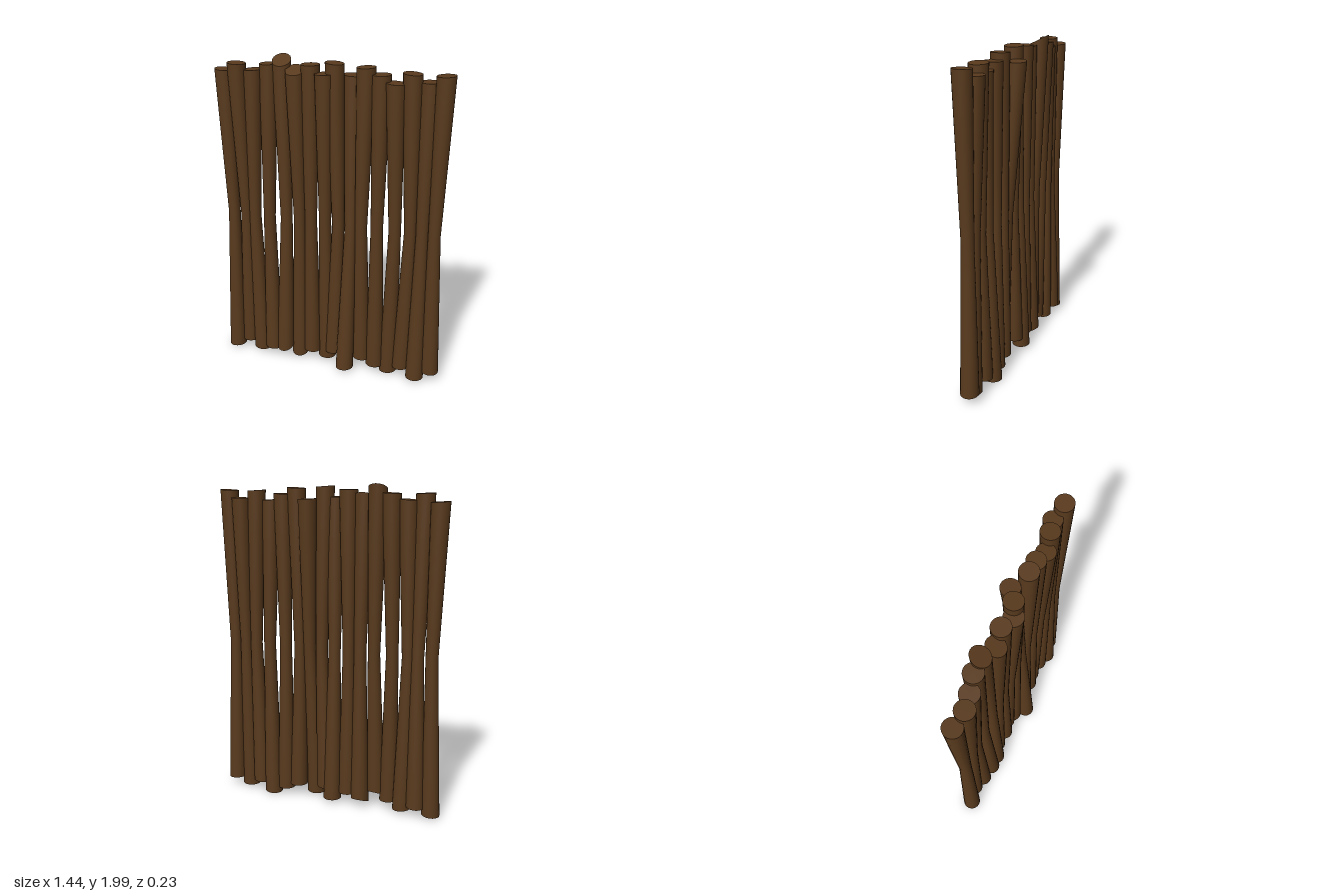
import * as THREE from 'three';

const SIDES = 24, R_END = 0.056, R_WAIST = 0.037, LENGTH = 1.88;

// One log: x at the ends, x at the waist, top height, z lean of the top,
// and how far the cut ends slope toward the front.
const LOGS = [
  [-0.665, -0.643, 1.895, 0, 0],
  [-0.573, -0.558, 1.94, 0.022, 0],
  [-0.48, -0.5, 1.905, 0, 0],
  [-0.388, -0.402, 1.94, -0.022, 0],
  [-0.306, -0.288, 1.965, -0.022, -0.5],
  [-0.212, -0.2, 1.92, 0.015, -0.4],
  [-0.122, -0.127, 1.955, 0, 0],
  [-0.03, -0.035, 1.912, 0.025, 0],
  [0.024, 0.05, 1.972, 0, 0],
  [0.115, 0.13, 1.9, -0.06, 0],
  [0.21, 0.194, 1.96, 0, 0],
  [0.299, 0.293, 1.925, 0, 0],
  [0.385, 0.404, 1.887, 0.018, 0],
  [0.475, 0.498, 1.942, 0, 0],
  [0.57, 0.57, 1.897, -0.025, 0],
  [0.66, 0.643, 1.942, 0, 0],
];

// Log thick at both ends and narrow at mid height, ends cut slightly askew
function makeLog(endX, waistX, top, leanZ, slopeZ) {
  const geo = new THREE.CylinderGeometry(1, 1, 2, SIDES, 8);
  const p = geo.attributes.position;
  const midY = 0.99, bottom = Math.max(top - LENGTH, 0.008);
  for (let i = 0; i < p.count; i++) {
    const t = p.getY(i), a = Math.abs(t);
    const r = THREE.MathUtils.lerp(R_WAIST, R_END, a);
    const dx = p.getX(i) * r, dz = p.getZ(i) * r;
    const cut = t * a * 3 * (endX - waistX) * dx + a * a * slopeZ * dz;
    const y = t > 0 ? midY + t * (top - midY) : midY + t * (midY - bottom);
    p.setXYZ(i, THREE.MathUtils.lerp(waistX, endX, a) + dx, y + cut, t * leanZ + dz);
  }
  geo.computeVertexNormals();
  // keep the side normals continuous across the seam
  const n = geo.attributes.normal;
  for (let row = 0; row <= 8; row++) {
    const a = row * (SIDES + 1), b = a + SIDES;
    const v = new THREE.Vector3().fromBufferAttribute(n, a)
      .add(new THREE.Vector3().fromBufferAttribute(n, b)).normalize();
    n.setXYZ(a, v.x, v.y, v.z);
    n.setXYZ(b, v.x, v.y, v.z);
  }
  return geo;
}

export function createModel() {
  const wall = new THREE.Group();
  wall.name = 'logWall';
  const wood = new THREE.MeshStandardMaterial({ color: 0x593a1d });
  LOGS.forEach((spec, i) => {
    const log = new THREE.Mesh(makeLog(...spec), wood);
    log.name = `log${i + 1}`;
    wall.add(log);
  });
  return wall;
}
